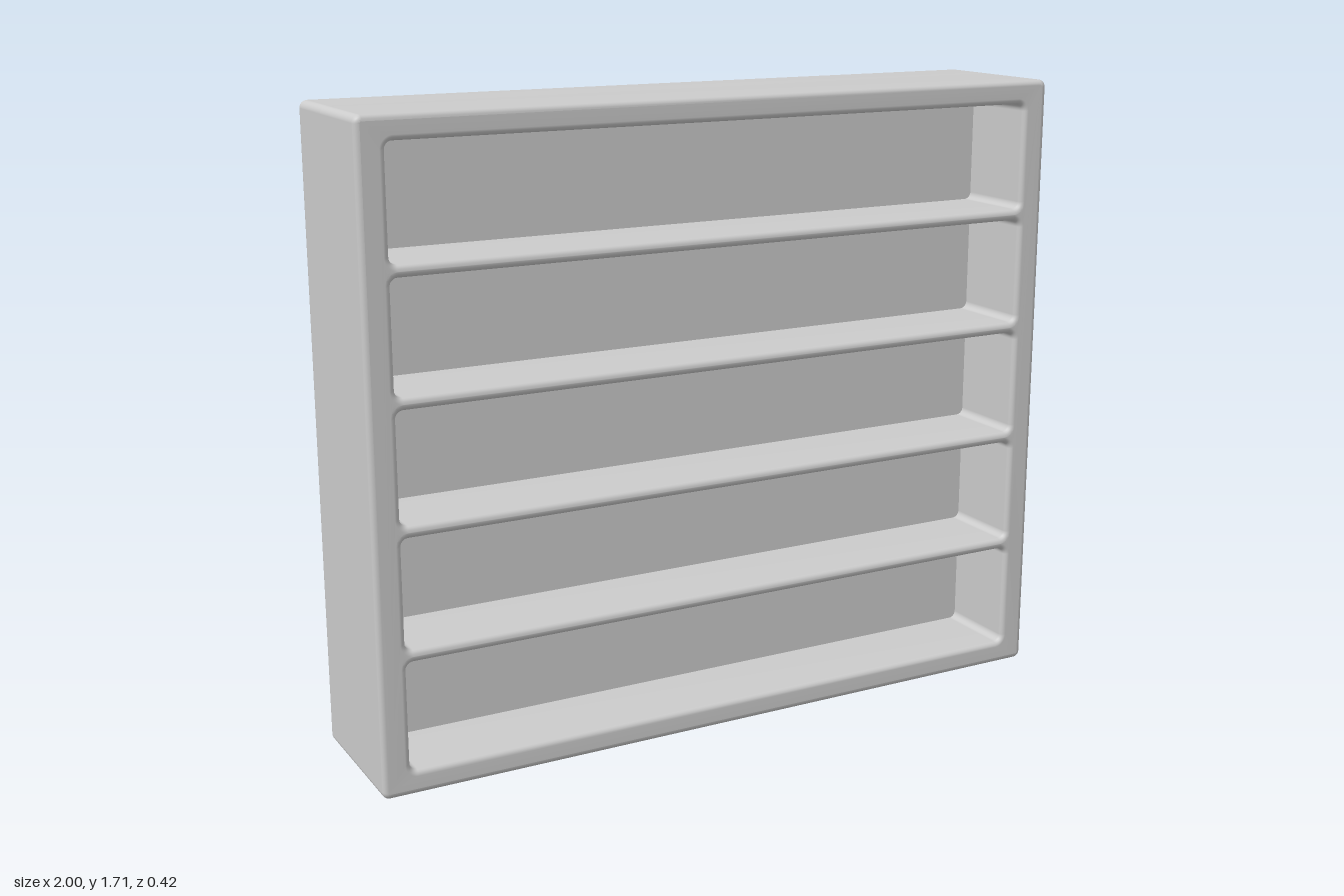
import * as THREE from 'three';
import { mergeVertices } from 'three/addons/utils/BufferGeometryUtils.js';

const WIDTH = 2, HEIGHT = 1.714, DEPTH = 0.424;
const BEVEL = 0.015;
const PANEL_Z = -0.02; // front surface of the back panel, seen inside the bays
const BAYS = 5, BAY_WIDTH = 1.85, BAY_HEIGHT = 0.292, BAY_PITCH = 0.3235;

// Rounded rectangle centred on (0, cy)
function roundedRect(path, w, h, cy, r) {
  const x = w / 2, b = cy - h / 2, t = cy + h / 2;
  path.moveTo(-x + r, b);
  path.lineTo(x - r, b);
  path.absarc(x - r, b + r, r, -Math.PI / 2, 0);
  path.lineTo(x, t - r);
  path.absarc(x - r, t - r, r, 0, Math.PI / 2);
  path.lineTo(-x + r, t);
  path.absarc(-x + r, t - r, r, Math.PI / 2, Math.PI);
  path.lineTo(-x, b + r);
  path.absarc(-x + r, b + r, r, Math.PI, Math.PI * 1.5);
  return path;
}

// Extrudes a shape between two z planes, with soft rounded edges at both ends
function softExtrude(shape, z0, z1) {
  let geo = new THREE.ExtrudeGeometry(shape, {
    depth: z1 - z0 - 2 * BEVEL,
    bevelThickness: BEVEL, bevelSize: BEVEL, bevelOffset: -BEVEL,
    bevelSegments: 4, curveSegments: 5,
  });
  geo.translate(0, 0, z0 + BEVEL);
  geo.deleteAttribute('uv');
  geo.deleteAttribute('normal');
  geo = mergeVertices(geo, 1e-5);
  geo.computeVertexNormals();
  return geo;
}

export function createModel() {
  const group = new THREE.Group();
  group.name = 'shelfUnit';
  const material = new THREE.MeshStandardMaterial({ color: 0xcccccc });
  const add = (name, geometry) => {
    const mesh = new THREE.Mesh(geometry, material);
    mesh.name = name;
    group.add(mesh);
  };
  const outline = () => roundedRect(new THREE.Shape(), WIDTH, HEIGHT, HEIGHT / 2, 0.02);

  // Solid rear half, closing the back of every bay
  add('backPanel', softExtrude(outline(), -DEPTH / 2, PANEL_Z));

  // Front frame and shelves, with five open bays; its rear bevel sits inside the panel
  const frame = outline();
  for (let i = 0; i < BAYS; i++) {
    const cy = HEIGHT / 2 + (i - (BAYS - 1) / 2) * BAY_PITCH;
    frame.holes.push(roundedRect(new THREE.Path(), BAY_WIDTH, BAY_HEIGHT, cy, 0.02));
  }
  add('shelfFrame', softExtrude(frame, PANEL_Z - 2 * BEVEL, DEPTH / 2));

  return group;
}
